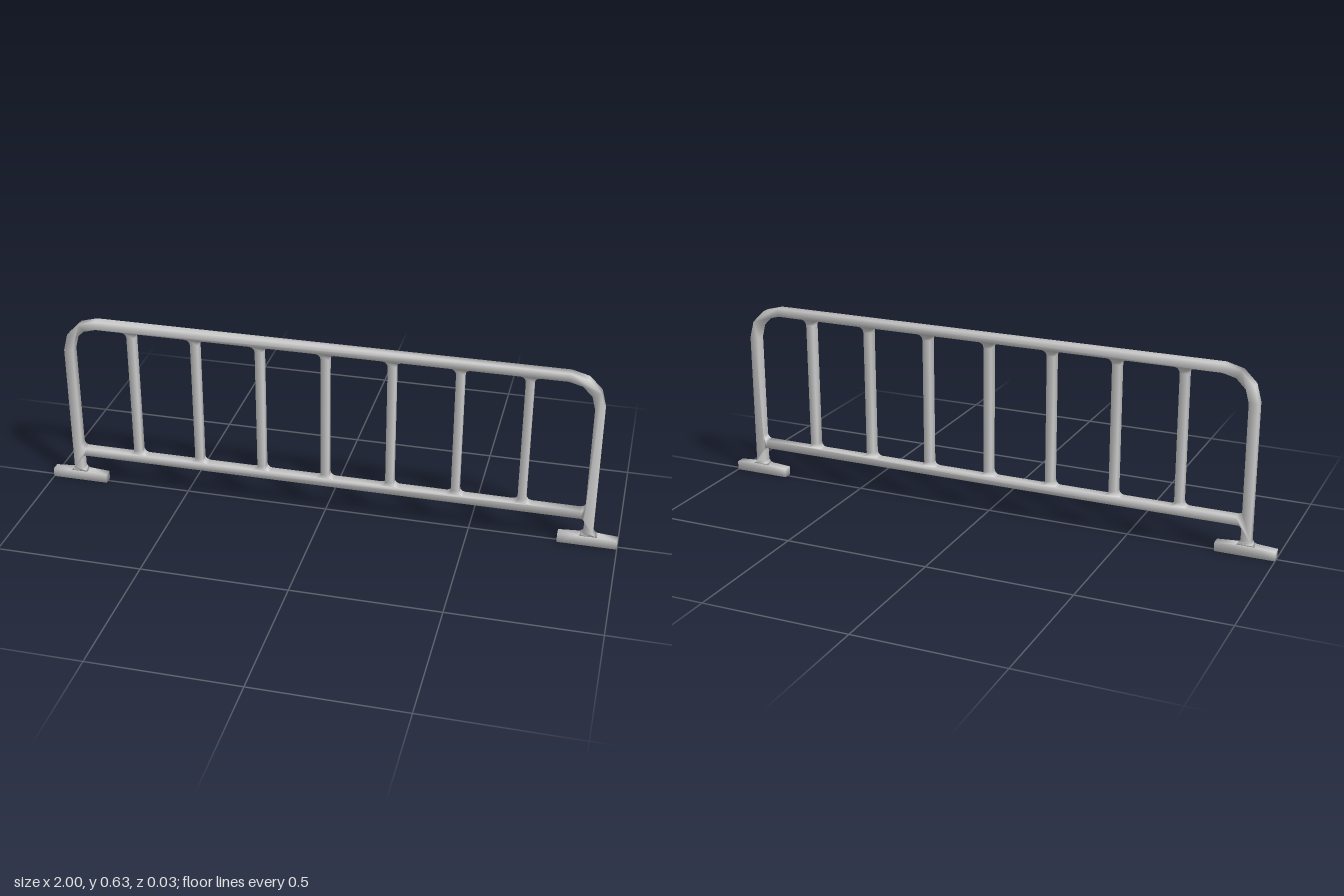
import * as THREE from 'three';
import { mergeVertices } from 'three/addons/utils/BufferGeometryUtils.js';

const DEPTH = 0.032, OUTER_X = 0.917, INNER_X = 0.885, POST_X = 0.901;
const TOP = 0.632, TOP_INNER = 0.603, RAIL_TOP = 0.131, RAIL_BOTTOM = 0.102;
const FOOT_TOP = 0.036, BAR_GAP = 0.2245, BAR_HALF = 0.0135;
const material = new THREE.MeshStandardMaterial({ color: 0xcccccc });

// Turn corners [x, y, radius] into outline points; a radius rounds a right-angled corner.
function roundedOutline(corners, segments = 3) {
  const count = corners.length;
  return corners.flatMap(([x, y, radius = 0], i) => {
    const p = new THREE.Vector2(x, y);
    if (!radius) return [p];
    const toward = ([cx, cy]) => new THREE.Vector2(cx, cy).sub(p).normalize();
    const u = toward(corners[(i + count - 1) % count]);
    const v = toward(corners[(i + 1) % count]);
    return Array.from({ length: segments + 1 }, (_, k) => {
      const a = (k / segments) * Math.PI / 2;
      return p.clone()
        .addScaledVector(u, radius * (1 - Math.sin(a)))
        .addScaledVector(v, radius * (1 - Math.cos(a)));
    });
  });
}

// Flat solid, centred on z = 0, with normals smoothed over its edges.
function smoothSlab(name, shape) {
  const extruded = new THREE.ExtrudeGeometry(shape, { depth: DEPTH, bevelEnabled: false });
  extruded.translate(0, 0, -DEPTH / 2);
  extruded.deleteAttribute('uv');
  extruded.deleteAttribute('normal');
  const geometry = mergeVertices(extruded);
  geometry.computeVertexNormals();
  const mesh = new THREE.Mesh(geometry, material);
  mesh.name = name;
  return mesh;
}

// Frame with posts, rails and upright bars, cut as one slab with eight openings.
function frame() {
  // Left half of the silhouette, from the underside of the rail to the rounded top.
  const half = [
    [INNER_X, RAIL_BOTTOM, 0.012],
    [INNER_X, 0.05],
    [POST_X - 0.021, 0.041],
    [POST_X - 0.031, FOOT_TOP],
    [POST_X + 0.031, FOOT_TOP],
    [POST_X + 0.021, 0.041],
    [OUTER_X, 0.05],
    [OUTER_X, TOP, 0.117],
  ];
  const mirrored = half.map(([x, y, r]) => [-x, y, r]).reverse();
  const shape = new THREE.Shape(roundedOutline([...half, ...mirrored]));

  // Openings between the bars; the outermost ones follow the bend of the frame.
  for (let i = -4; i < 4; i++) {
    const left = i === -4 ? -INNER_X : i * BAR_GAP + BAR_HALF;
    const right = i === 3 ? INNER_X : (i + 1) * BAR_GAP - BAR_HALF;
    shape.holes.push(new THREE.Path(roundedOutline([
      [left, RAIL_TOP, 0.018],
      [left, TOP_INNER, i === -4 ? 0.088 : 0.018],
      [right, TOP_INNER, i === 3 ? 0.088 : 0.018],
      [right, RAIL_TOP, 0.018],
    ])));
  }
  return smoothSlab('frame', shape);
}

// Foot bar, rising slightly toward the post.
function foot(side) {
  const shape = new THREE.Shape(roundedOutline([
    [-0.1, 0], [0.1, 0], [0.1, 0.031], [0.031, FOOT_TOP], [-0.031, FOOT_TOP], [-0.1, 0.031],
  ]));
  const mesh = smoothSlab(side > 0 ? 'leftFoot' : 'rightFoot', shape);
  mesh.position.x = side * 0.9;
  return mesh;
}

export function createModel() {
  const group = new THREE.Group();
  group.name = 'barrier';
  group.add(frame(), foot(1), foot(-1));
  return group;
}
